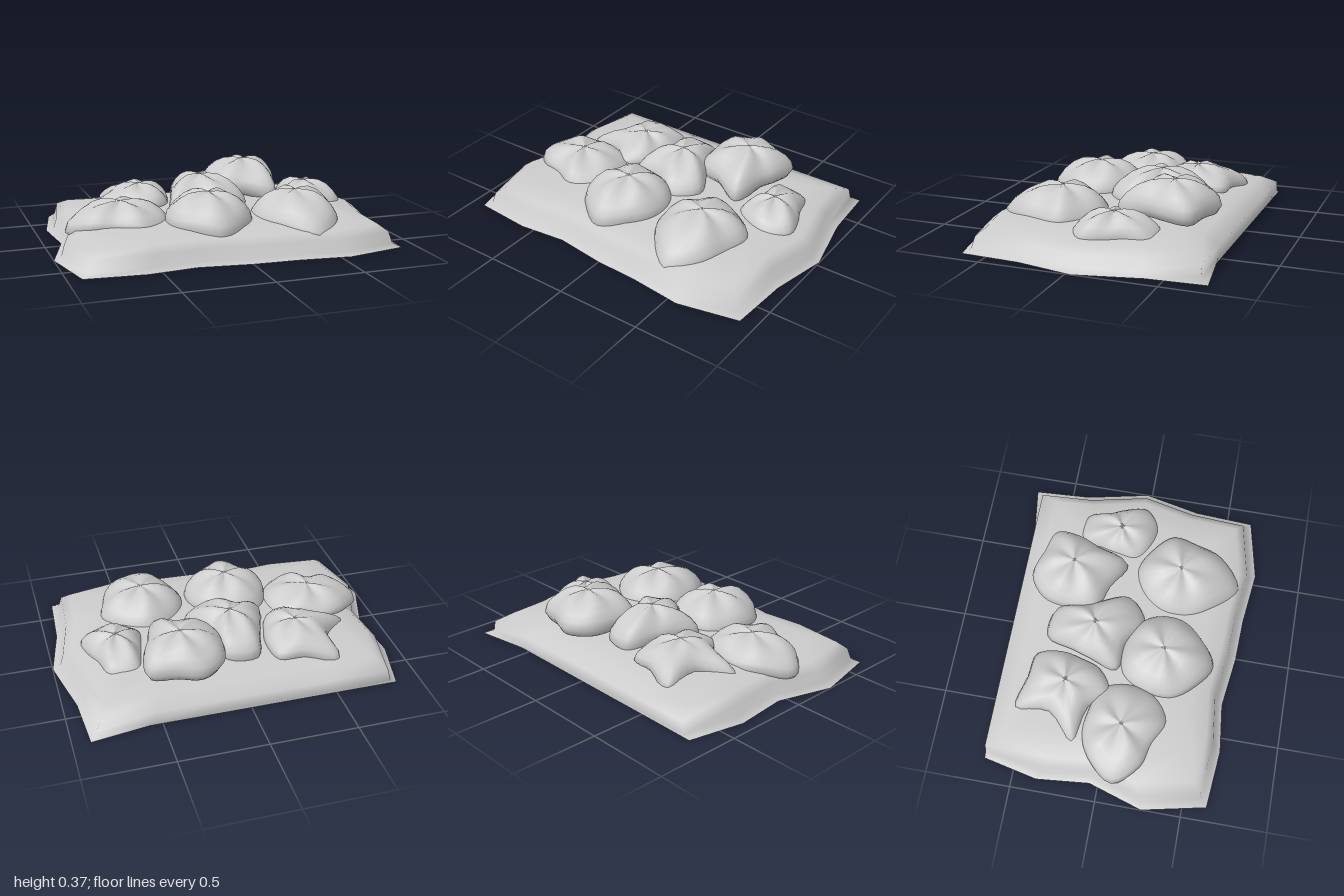
import * as THREE from 'three';

const material = new THREE.MeshStandardMaterial({ color: 0xcccccc, side: THREE.DoubleSide });

// Skin a stack of equal-length rings, counter-clockwise seen from above
function skin(name, rings) {
  const n = rings[0].length, index = [];
  for (let i = 0; i < rings.length - 1; i++) {
    for (let j = 0; j < n; j++) {
      const k = (j + 1) % n, a = i * n + j, b = i * n + k, c = a + n, d = b + n;
      index.push(a, b, d, a, d, c);
    }
  }
  const geo = new THREE.BufferGeometry();
  geo.setAttribute('position', new THREE.Float32BufferAttribute(rings.flat(2), 3));
  geo.setIndex(index);
  geo.computeVertexNormals();
  const mesh = new THREE.Mesh(geo, material);
  mesh.name = name;
  return mesh;
}

// Rounded lump: rim from radii at equal angles, long corners droop,
// hem tucked under, steep sides, gently creased crown
function lump(name, [px, top, pz], edge, turn, radii) {
  const mean = radii.reduce((sum, r) => sum + r) / radii.length;
  const points = radii.map((r, i) => {
    const a = THREE.MathUtils.degToRad(turn + i * 360 / radii.length);
    const y = edge - 0.6 * Math.max(0, r - mean);
    return new THREE.Vector3(px + r * Math.cos(a), y, pz - r * Math.sin(a));
  });
  const rim = new THREE.CatmullRomCurve3(points, true, 'centripetal')
    .getPoints(radii.length * 4).slice(0, -1);
  const profile = [[0, -0.25], [0.9, -0.2], [1, 0], [0.95, 0.3], [0.83, 0.55],
    [0.65, 0.78], [0.45, 0.92], [0.22, 0.98], [0, 1]];
  return skin(name, profile.map(([s, h]) => rim.map(p => {
    const a = Math.atan2(p.z - pz, p.x - px);
    const crease = h > 0 ? 0.05 * s * (1 - s) * Math.sin(5 * a + 9 * px) : 0;
    const y = h < 0 ? Math.max(0.02, p.y + edge * h) : p.y + (top - p.y) * h;
    return [px + (p.x - px) * s, y + crease, pz + (p.z - pz) * s];
  })));
}

export function createModel() {
  const group = new THREE.Group();
  group.name = 'lumpsOnMound';

  // Ragged sheet outline [x, z]
  const sheet = [
    [-0.86, -0.68], [-0.93, -0.36], [-0.9, -0.05], [-1, 0.27], [-0.92, 0.64], [-0.58, 0.67],
    [-0.3, 0.64], [0, 0.68], [0.25, 0.69], [0.56, 0.725], [0.91, 0.65], [0.93, 0.3], [1, -0.03],
    [0.92, -0.4], [0.9, -0.73], [0.57, -0.68], [0.2, -0.68], [-0.2, -0.68], [-0.5, -0.68],
  ];

  // Puffed base: thin rim, steep wall, shallow dome; the back wall stays upright
  const profile = [[0, 0], [0.045, 0.02], [0.065, 0.085], [0.12, 0.125], [0.27, 0.15],
    [0.6, 0.165], [1, 0.175]];
  group.add(skin('base', profile.map(([d, y]) => sheet.map(([x, z]) => {
    const back = z < -0.6;
    const inset = back && d < 0.1 ? 0 : d * (1.25 - 0.25 * d);
    return [x * (1 - d), y, (back && d > 0 ? Math.max(z, -0.68) : z) * (1 - inset)];
  }))));

  // Flat underside
  group.add(skin('underside', [1, 0].map(s =>
    sheet.toReversed().map(([x, z]) => [x * s, 0, z * s]))));

  // Seven lumps: peak, rim height, first angle, rim radii
  group.add(
    lump('backLeftLump', [-0.38, 0.27, -0.28], 0.16, 16,
      [0.2, 0.26, 0.23, 0.33, 0.19, 0.36, 0.19, 0.26, 0.22, 0.18]),
    lump('middleLump', [-0.02, 0.325, -0.17], 0.19, 0,
      [0.17, 0.16, 0.27, 0.29, 0.19, 0.19, 0.28, 0.2, 0.3, 0.29]),
    lump('backRightLump', [0.32, 0.365, -0.36], 0.22, 0,
      [0.21, 0.27, 0.22, 0.26, 0.26, 0.25, 0.28, 0.24, 0.32, 0.2]),
    lump('rightLump', [0.64, 0.25, -0.13], 0.13, 0,
      [0.16, 0.15, 0.25, 0.27, 0.16, 0.15, 0.2, 0.2, 0.23, 0.23]),
    lump('leftLump', [-0.58, 0.26, 0.08], 0.14, 0,
      [0.27, 0.27, 0.22, 0.23, 0.26, 0.32, 0.25, 0.2, 0.27, 0.28]),
    lump('frontMiddleLump', [-0.11, 0.315, 0.25], 0.15, -18,
      [0.25, 0.25, 0.25, 0.25, 0.27, 0.25, 0.26, 0.26, 0.3, 0.25]),
    lump('frontRightLump', [0.41, 0.295, 0.27], 0.12, -18,
      [0.24, 0.27, 0.25, 0.27, 0.26, 0.26, 0.26, 0.28, 0.37, 0.29]),
  );
  return group;
}
